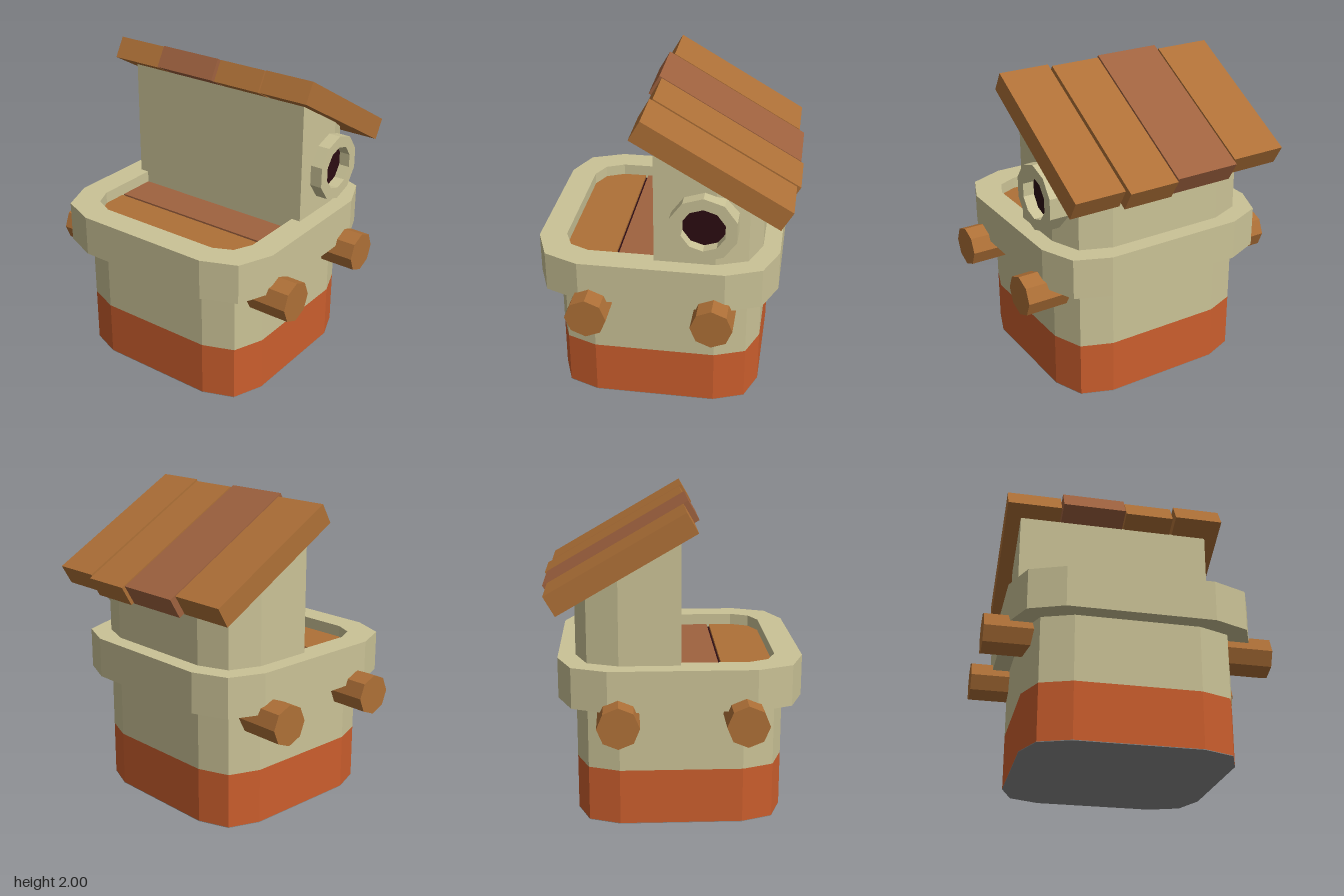
import * as THREE from 'three';

const mat = (name, color) => {
  const m = new THREE.MeshStandardMaterial({ color });
  m.name = name;
  return m;
};

// Square with two-step chamfered corners, optionally limited to an x range
function outline(half, mid, inner, x0 = -9, x1 = 9) {
  const corner = [[half, inner], [mid, mid], [inner, half]];
  const pts = [];
  for (const [sx, sz] of [[1, 1], [-1, 1], [-1, -1], [1, -1]]) {
    const c = sx * sz > 0 ? corner : [...corner].reverse();
    for (const [x, z] of c) {
      pts.push(new THREE.Vector2(THREE.MathUtils.clamp(sx * x, x0, x1), sz * z));
    }
  }
  return pts;
}

const polygon = (r, n) => Array.from({ length: n }, (_, i) => {
  const a = Math.PI / 2 + (i / n) * Math.PI * 2;
  return new THREE.Vector2(r * Math.cos(a), r * Math.sin(a));
});

// Extrude an outline upwards from y0 to y1
function prism(points, y0, y1, hole) {
  const shape = new THREE.Shape(points);
  if (hole) shape.holes.push(new THREE.Path(hole));
  const g = new THREE.ExtrudeGeometry(shape, { depth: y1 - y0, bevelEnabled: false });
  return g.rotateX(-Math.PI / 2).translate(0, y0, 0);
}

export function createModel() {
  const cream = mat('cream plaster', 0xcac296);
  const orange = mat('orange paint', 0xcb5e2d);
  const wood = mat('brown wood', 0xae7037);
  const redWood = mat('reddish wood', 0x9f623f);
  const dark = mat('dark opening', 0x2c0c12);
  const grey = mat('grey underside', 0x8a8a8a);

  const model = new THREE.Group();
  const CX = -0.055, CZ = 0.005;
  const add = (name, geometry, material, x = 0, y = 0, z = 0, parent = model) => {
    const mesh = new THREE.Mesh(geometry, material);
    mesh.name = name;
    mesh.position.set(x, y, z);
    parent.add(mesh);
    return mesh;
  };

  // Tower body with painted base
  const body = [0.655, 0.58, 0.385];
  add('underside', prism(outline(...body), 0, 0.004), grey, CX, 0, CZ);
  add('paintedBase', prism(outline(...body), 0.004, 0.36), orange, CX, 0, CZ);
  add('towerBody', prism(outline(...body), 0.36, 0.94), cream, CX, 0, CZ);

  // Parapet rim
  const inside = [0.595, 0.54, 0.42];
  add('parapet', prism(outline(0.765, 0.675, 0.455), 0.78, 1.04, outline(...inside)), cream, CX, 0, CZ);

  // Deck planks with a dark gap between them
  add('deckGap', prism(outline(...inside), 0.94, 0.945), dark, CX, 0, CZ);
  add('outerDeckPlank', prism(outline(...inside, -9, -0.265), 0.945, 0.965), wood, CX, 0, CZ);
  add('innerDeckPlank', prism(outline(...inside, -0.248, 9), 0.945, 0.965), redWood, CX, 0, CZ);

  // House, its top sheared to meet the roof
  const slope = Math.PI / 6;
  const roofY = (x) => 1.88 - Math.tan(slope) * (x + 0.175);
  const house = prism(outline(...body, 0.005), 0.95, 2);
  const p = house.attributes.position;
  for (let i = 0; i < p.count; i++) {
    if (p.getY(i) > 1.5) p.setY(i, roofY(p.getX(i) + CX) + 0.003);
  }
  house.computeVertexNormals();
  add('house', house, cream, CX, 0, CZ);

  // Round window
  const ring = new THREE.Shape(polygon(0.213, 10));
  ring.holes.push(new THREE.Path(polygon(0.14, 10)));
  add('windowRing', new THREE.ExtrudeGeometry(ring, { depth: 0.14, bevelEnabled: false }), cream, 0.26, 1.32, 0.6);
  add('windowOpening', new THREE.ShapeGeometry(new THREE.Shape(polygon(0.142, 10))), dark, 0.26, 1.32, 0.668);

  // Roof boards: z from, z to, upper edge x, length
  const roof = new THREE.Group();
  roof.name = 'roof';
  model.add(roof);
  const boards = [
    [0.42, 0.75, -0.175, 1.028, wood],
    [0.07, 0.40, -0.16, 1.04, wood],
    [-0.37, 0.06, -0.175, 1.04, redWood],
    [-0.75, -0.38, -0.145, 0.97, wood],
  ];
  for (const [z0, z1, x, length, material] of boards) {
    const g = new THREE.BoxGeometry(length, 0.14, z1 - z0).translate(length / 2, 0.07, 0);
    add('roofBoard', g, material, x, roofY(x), (z0 + z1) / 2, roof).rotation.z = -slope;
  }

  // Octagonal beams poking out at front and back
  for (const x of [-0.44, 0.335]) {
    const g = new THREE.CylinderGeometry(0.13, 0.13, 1.8, 8).toNonIndexed();
    g.computeVertexNormals();
    add('beam', g.rotateX(Math.PI / 2), wood, x, 0.73, 0);
  }
  return model;
}
